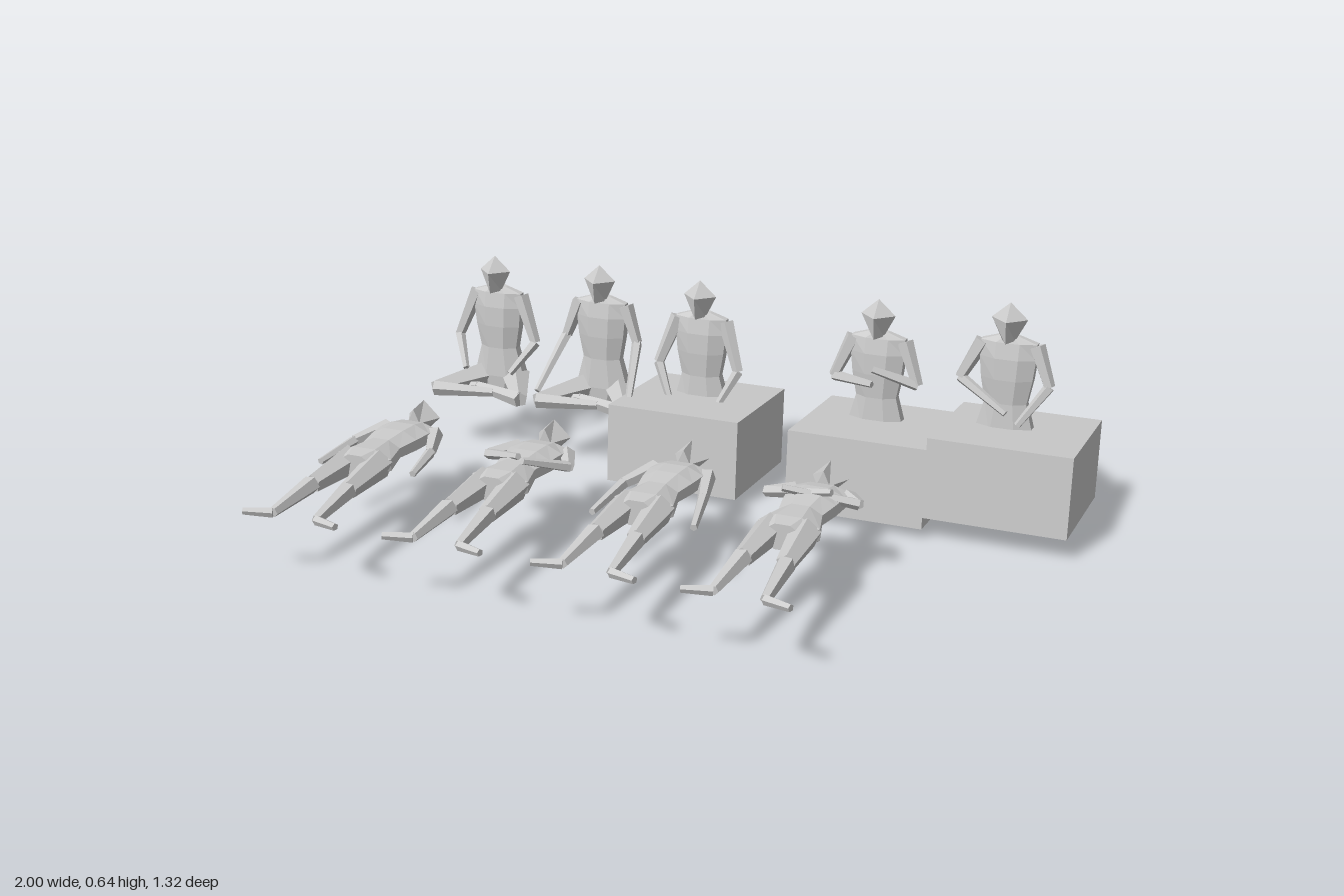
import * as THREE from 'three';

const material = new THREE.MeshStandardMaterial({ color: 0xcccccc, flatShading: true });

function mesh(geometry, name) {
  const m = new THREE.Mesh(geometry, material);
  m.name = name;
  return m;
}

// Faceted solid from elliptical rings [y, rx, rz, zOffset], listed top to bottom
function loft(rings, sides, turn = 0) {
  const pos = [], index = [];
  for (const [y, rx, rz, z = 0] of rings) {
    for (let j = 0; j < sides; j++) {
      const a = ((j + turn) / sides) * Math.PI * 2;
      pos.push(Math.cos(a) * rx, y, z + Math.sin(a) * rz);
    }
  }
  for (let i = 0; i < rings.length - 1; i++) {
    for (let j = 0; j < sides; j++) {
      const k = (j + 1) % sides;
      const a = i * sides + j, b = i * sides + k, c = a + sides, d = b + sides;
      index.push(a, b, c, b, d, c);
    }
  }
  const g = new THREE.BufferGeometry();
  g.setAttribute('position', new THREE.Float32BufferAttribute(pos, 3));
  g.setIndex(index);
  g.computeVertexNormals();
  return g;
}

// Chain of tapered five-sided segments through points [x, y, z, radius]
function limb(points, name) {
  const g = new THREE.Group();
  g.name = name;
  for (let i = 0; i < points.length - 1; i++) {
    const a = new THREE.Vector3(...points[i].slice(0, 3));
    const b = new THREE.Vector3(...points[i + 1].slice(0, 3));
    const dir = b.clone().sub(a);
    const seg = mesh(new THREE.CylinderGeometry(points[i + 1][3], points[i][3], dir.length(), 5), name + 'Segment');
    seg.position.copy(a).add(b).multiplyScalar(0.5);
    seg.quaternion.setFromUnitVectors(new THREE.Vector3(0, 1, 0), dir.normalize());
    g.add(seg);
  }
  return g;
}

const torsoRings = [
  [0.012, 0, 0], [0.012, 0.03, 0.02], [-0.005, 0.085, 0.028], [-0.05, 0.085, 0.038], [-0.11, 0.078, 0.04],
  [-0.18, 0.064, 0.036], [-0.27, 0.09, 0.042], [-0.32, 0.055, 0.038], [-0.32, 0, 0],
];
const headRings = [[0.11, 0, 0], [0.065, 0.05, 0.048], [0.002, 0.018, 0.04], [0.002, 0, 0]];

// Person with the base of the neck at the origin; arms are [elbow, hand] for the right, then the left
function person(name, arms, legs) {
  const g = new THREE.Group();
  g.name = name;
  g.add(mesh(loft(torsoRings, 8, 0.5), 'torso'));
  const head = mesh(loft(headRings, 4), 'head');
  head.position.z = 0.018;
  g.add(head);
  arms.forEach(([elbow, hand], i) => {
    const s = i ? 1 : -1;
    g.add(limb([[s * 0.075, -0.012, 0, 0.024], [...elbow, 0.016], [...hand, 0.01]], i ? 'leftArm' : 'rightArm'));
  });
  legs.forEach((points, i) => g.add(limb(points, i ? 'leftLeg' : 'rightLeg')));
  return g;
}

const mirrored = (points) => [-1, 1].map((s) => points.map(([x, ...rest]) => [s * x, ...rest]));

// Leg poses
const straightLegs = mirrored([
  [0.046, -0.27, 0, 0.042], [0.056, -0.45, -0.008, 0.026], [0.066, -0.622, -0.024, 0.014], [0.14, -0.65, -0.02, 0.01],
]);
const crossedLegs = [
  [[-0.05, -0.28, 0, 0.045], [-0.145, -0.285, 0.165, 0.024], [0.04, -0.285, 0.135, 0.014], [0.06, -0.29, 0.11, 0.01]],
  [[0.05, -0.28, 0, 0.045], [0.145, -0.285, 0.165, 0.024], [-0.03, -0.285, 0.1, 0.014], [-0.06, -0.29, 0.09, 0.01]],
];

// Arm poses
const handsOnThighs = mirrored([[0.13, -0.15, 0.02], [0.075, -0.235, 0.09]]);
const handsOnKnees = mirrored([[0.115, -0.12, 0.01], [0.148, -0.26, 0.155]]);
const handsOnLap = mirrored([[0.125, -0.15, 0.03], [0.075, -0.25, 0.07]]);
const armsFolded = [[[-0.125, -0.13, 0.02], [0.0, -0.13, 0.06]], [[0.122, -0.13, 0.02], [0.0, -0.085, 0.06]]];
const handsTogether = [[[-0.13, -0.12, 0.015], [0.01, -0.2, 0.05]], [[0.12, -0.12, 0.015], [0.045, -0.23, 0.05]]];
const armsAtSides = [[[-0.125, -0.12, -0.012], [-0.147, -0.265, -0.025]], [[0.12, -0.12, -0.012], [0.137, -0.25, -0.025]]];
const armsDown = [[[-0.125, -0.12, -0.012], [-0.135, -0.3, -0.025]], [[0.11, -0.13, -0.012], [0.15, -0.295, -0.025]]];
const handsOnBelly = [[[-0.13, -0.09, 0], [0.01, -0.18, 0.045]], [[0.12, -0.095, 0], [0.035, -0.205, 0.045]]];
const handsOnChest = [[[-0.138, -0.06, 0.005], [0.06, -0.11, 0.05]], [[0.118, -0.055, 0.005], [-0.07, -0.125, 0.05]]];

export function createModel() {
  const model = new THREE.Group();
  model.name = 'groupOfFigures';

  // Tilted seat blocks: x, y of the centre
  [[-0.15, 0.132], [0.4, 0.132], [0.8, 0.167]].forEach(([x, y], i) => {
    const block = mesh(new THREE.BoxGeometry(0.4, 0.23, 0.396), 'seatBlock' + (i + 1));
    block.position.set(x, y, -0.459);
    block.rotation.x = -0.072;
    model.add(block);
  });

  // Upright figures: two cross-legged, three rising out of the blocks
  [
    [-0.835, 0.48, -0.535, handsOnThighs, crossedLegs],
    [-0.477, 0.495, -0.515, handsOnKnees, crossedLegs],
    [-0.155, 0.485, -0.512, handsOnLap, []],
    [0.385, 0.492, -0.51, armsFolded, []],
    [0.762, 0.532, -0.49, handsTogether, []],
  ].forEach(([x, y, z, arms, legs], i) => {
    const p = person('seatedFigure' + (i + 1), arms, legs);
    p.position.set(x, y, z);
    model.add(p);
  });

  // Figures lying on their backs, heads toward the rear
  [[-0.842, armsAtSides], [-0.424, handsOnBelly], [-0.005, armsDown], [0.394, handsOnChest]].forEach(([x, arms], i) => {
    const p = person('lyingFigure' + (i + 1), arms, straightLegs);
    p.position.set(x, 0.21, 0);
    p.rotation.x = -Math.PI / 2;
    model.add(p);
  });

  return model;
}
